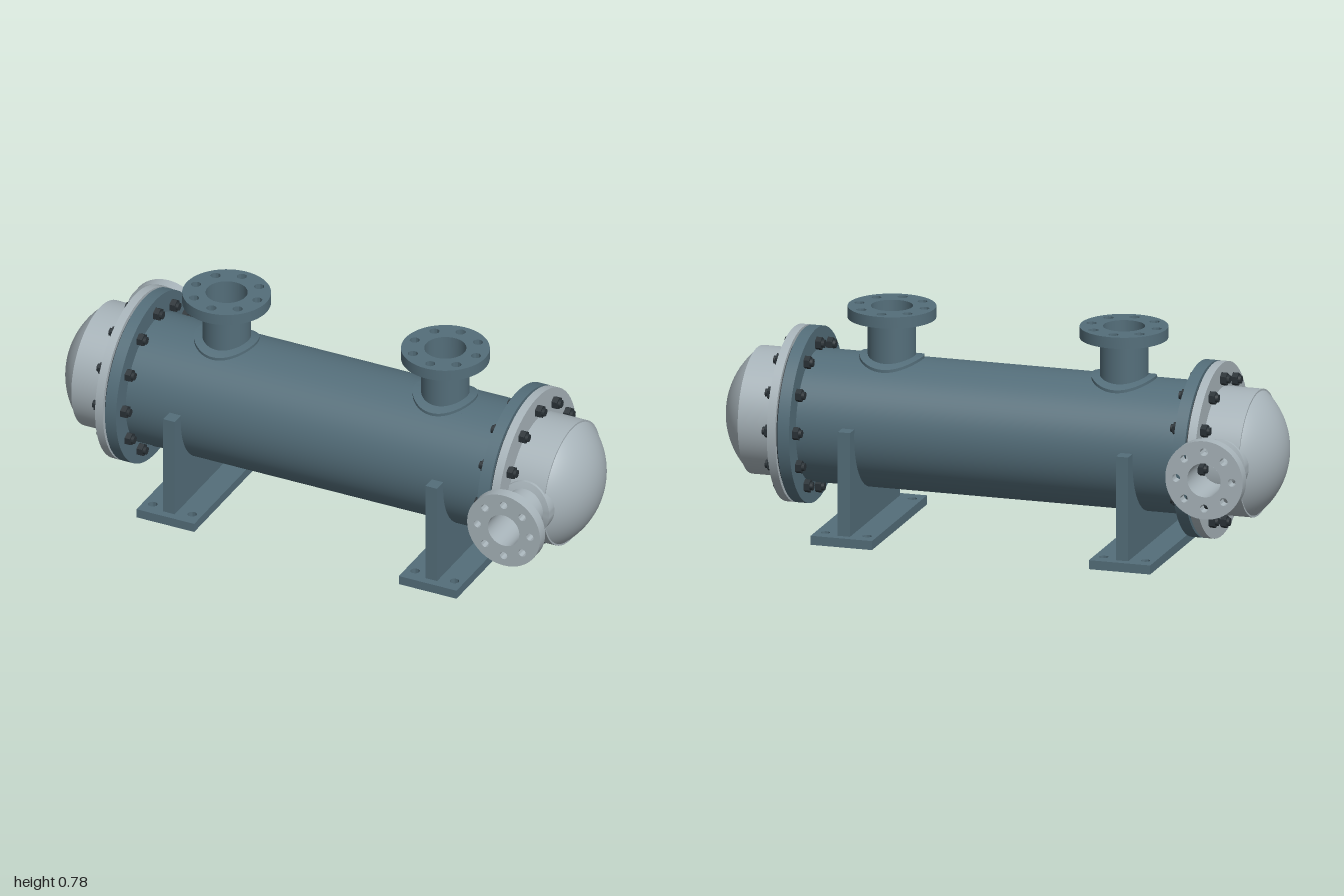
import * as THREE from 'three';
import { toCreasedNormals, mergeGeometries } from 'three/addons/utils/BufferGeometryUtils.js';

const AXIS_Y = 0.375, SHELL_R = 0.23, SHELL_END = 0.69, NOZZLE_X = 0.417;

const material = (name, color, side = THREE.FrontSide) =>
  Object.assign(new THREE.MeshStandardMaterial({ color, side }), { name });

function add(parent, name, geometry, mat) {
  const mesh = new THREE.Mesh(geometry, mat);
  mesh.name = name;
  parent.add(mesh);
  return mesh;
}

// Cylinder lying along x between two stations
function rod(r, x0, x1, sides = 64) {
  return new THREE.CylinderGeometry(r, r, x1 - x0, sides).rotateZ(-Math.PI / 2).translate((x0 + x1) / 2, 0, 0);
}

// Open part of the shell wall along x
function wall(x0, x1, start, length, sides) {
  return new THREE.CylinderGeometry(SHELL_R, SHELL_R, x1 - x0, sides, 1, true, start, length)
    .rotateZ(-Math.PI / 2).translate((x0 + x1) / 2, 0, 0);
}

// Square piece of shell wall with a round opening for a nozzle
function openPatch(cx, half, hole) {
  const g = new THREE.RingGeometry(hole, half, 64, 4);
  const p = g.attributes.position, n = g.attributes.normal;
  for (let i = 0; i < p.count; i++) {
    const x = p.getX(i), y = p.getY(i), r = Math.hypot(x, y);
    const t = (r - hole) / (half - hole);
    const k = 1 + t * (r / Math.max(Math.abs(x), Math.abs(y)) - 1);
    const z = -y * k, h = Math.sqrt(SHELL_R ** 2 - z * z);
    p.setXYZ(i, cx + x * k, h, z);
    n.setXYZ(i, 0, h / SHELL_R, z / SHELL_R);
  }
  return g;
}

function shellGeometry(hole) {
  const half = 0.1, a = Math.asin(half / SHELL_R), up = Math.PI * 1.5;
  const parts = [wall(-SHELL_END, SHELL_END, up + a, 2 * Math.PI - 2 * a, 60)];
  const cuts = [-SHELL_END, -NOZZLE_X - half, -NOZZLE_X + half, NOZZLE_X - half, NOZZLE_X + half, SHELL_END];
  for (let i = 0; i < 6; i += 2) parts.push(wall(cuts[i], cuts[i + 1], up - a, 2 * a, 12));
  for (const s of [-1, 1]) parts.push(openPatch(s * NOZZLE_X, half, hole));
  return mergeGeometries(parts);
}

function circle(x, y, r) {
  return new THREE.Path().absarc(x, y, r, 0, Math.PI * 2, true);
}

// Reinforcing pad: a stepped ring draped over a cylinder of radius R
function padGeometry(R, rIn, rOut) {
  const pts = [[rOut, -0.03], [rOut, 0.01], [(rIn + rOut) / 2, 0.01], [rIn, 0.01]];
  const g = new THREE.LatheGeometry(pts.map(([x, y]) => new THREE.Vector2(x, y)), 64);
  const p = g.attributes.position;
  for (let i = 0; i < p.count; i++) p.setY(i, p.getY(i) + Math.sqrt(R * R - p.getZ(i) ** 2));
  return toCreasedNormals(g, 0.6);
}

// Flanged nozzle rising along +y from a cylinder of radius R lying along x
function nozzle(name, mat, { R, neck, bore, rim, y0, y1, pitch, hole, pad }) {
  const g = new THREE.Group();
  g.name = name;
  const low = Math.sqrt(R * R - bore * bore) - 0.01;
  for (const [part, r] of [['neck', neck], ['bore', bore]]) {
    const top = part === 'bore' ? y1 : y0;
    add(g, part, new THREE.CylinderGeometry(r, r, top - low, 48, 1, true).translate(0, (top + low) / 2, 0), mat);
  }
  const s = new THREE.Shape().absarc(0, 0, rim, 0, Math.PI * 2);
  s.holes.push(circle(0, 0, bore));
  for (let i = 0; i < 8; i++) {
    const a = i * Math.PI / 4;
    s.holes.push(circle(Math.cos(a) * pitch, Math.sin(a) * pitch, hole));
  }
  const flange = new THREE.ExtrudeGeometry(s, { depth: y1 - y0, bevelEnabled: false, curveSegments: 32 });
  add(g, 'nozzleFlange', toCreasedNormals(flange.rotateX(-Math.PI / 2).translate(0, y0, 0), 0.6), mat);
  add(g, 'reinforcingPad', padGeometry(R, neck, pad), mat);
  return g;
}

// Saddle support: drilled base plate and a web cut to the shell
function saddle(mat) {
  const g = new THREE.Group();
  g.name = 'saddle';
  const base = new THREE.Shape([[-0.11, -0.305], [0.11, -0.305], [0.11, 0.305], [-0.11, 0.305]]
    .map(([x, y]) => new THREE.Vector2(x, y)));
  for (const x of [-0.075, 0.075]) for (const z of [-0.25, 0.25]) base.holes.push(circle(x, z, 0.016));
  add(g, 'basePlate', toCreasedNormals(
    new THREE.ExtrudeGeometry(base, { depth: 0.032, bevelEnabled: false }).rotateX(-Math.PI / 2), 0.6), mat);

  const r = SHELL_R - 0.001, top = 0.4, a = Math.asin((top - AXIS_Y) / r);
  const web = new THREE.Shape();
  web.moveTo(-0.277, 0.03).lineTo(0.277, 0.03).lineTo(0.277, top).lineTo(r * Math.cos(a), top);
  web.absarc(0, AXIS_Y, r, a, -Math.PI - a, true);
  web.lineTo(-0.277, top);
  const geo = new THREE.ExtrudeGeometry(web, { depth: 0.044, bevelEnabled: false, curveSegments: 40 });
  add(g, 'web', toCreasedNormals(geo.translate(0, 0, -0.022).rotateY(Math.PI / 2), 0.6), mat);
  return g;
}

export function createModel() {
  const blue = material('shellBlue', 0x546e7a, THREE.DoubleSide);
  const grey = material('channelGrey', 0xa8b4ba, THREE.DoubleSide);
  const dark = material('boltDark', 0x2a3237);
  const copper = material('tubeCopper', 0xb87333);

  const model = new THREE.Group();
  model.name = 'heatExchanger';
  const body = new THREE.Group();
  body.name = 'body';
  body.position.y = AXIS_Y;
  model.add(body);

  add(body, 'shell', shellGeometry(0.072), blue);

  // Tube bundle in two halves with a gap down the middle
  const tubes = [];
  for (let i = 0; i < 6; i++) for (let j = -5; j <= 5; j++) for (const s of [-1, 1]) {
    const z = s * (0.022 + i * 0.031), y = j * 0.033;
    if (Math.hypot(y, z) < 0.2) tubes.push(rod(0.0125, -SHELL_END, SHELL_END, 12).translate(0, y, z));
  }
  add(body, 'tubeBundle', mergeGeometries(tubes), copper);

  // Shell nozzles and saddles
  for (const s of [-1, 1]) {
    const n = nozzle('shellNozzle', blue, {
      R: SHELL_R, neck: 0.083, bore: 0.072, rim: 0.152, y0: 0.37, y1: 0.41, pitch: 0.117, hole: 0.017, pad: 0.112 });
    n.position.x = s * NOZZLE_X;
    body.add(n);
    const support = saddle(blue);
    support.position.x = s * 0.5;
    model.add(support);
  }

  // End channels, the second turned half way round
  const capR = 0.215, capH = 0.1, sphereR = (capR ** 2 + capH ** 2) / (2 * capH);
  for (const turn of [0, Math.PI]) {
    const end = new THREE.Group();
    end.name = 'endChannel';
    end.rotation.y = turn;
    body.add(end);
    add(end, 'shellFlange', rod(0.305, 0.688, 0.73, 96), blue);
    add(end, 'gasket', rod(0.29, 0.729, 0.739, 96), dark);
    add(end, 'channelFlange', rod(0.305, 0.738, 0.768, 96), grey);
    add(end, 'channelBarrel', rod(0.221, 0.765, 0.9), grey);
    const dome = new THREE.SphereGeometry(sphereR, 64, 16, 0, Math.PI * 2, 0, Math.asin(capR / sphereR));
    add(end, 'domedHead', dome.rotateZ(-Math.PI / 2).translate(1 - sphereR, 0, 0), grey);

    const n = nozzle('channelNozzle', grey, {
      R: 0.221, neck: 0.074, bore: 0.06, rim: 0.139, y0: 0.347, y1: 0.387, pitch: 0.1, hole: 0.014, pad: 0.097 });
    n.position.x = 0.83;
    n.rotation.x = Math.PI / 2;
    end.add(n);

    // Studs with a hexagon nut on each side
    for (let i = 0; i < 12; i++) {
      const a = i * Math.PI / 6, y = 0.253 * Math.cos(a), z = 0.253 * Math.sin(a);
      const nuts = [[0.668, 0.689], [0.767, 0.789]].map(([x0, x1]) => rod(0.023, x0, x1, 6).rotateX(Math.PI / 6 * 3));
      const bolt = mergeGeometries([...nuts, rod(0.014, 0.658, 0.799, 16)]);
      add(end, 'bolt', toCreasedNormals(bolt.translate(0, y, z), 0.6), dark);
    }
  }
  return model;
}
